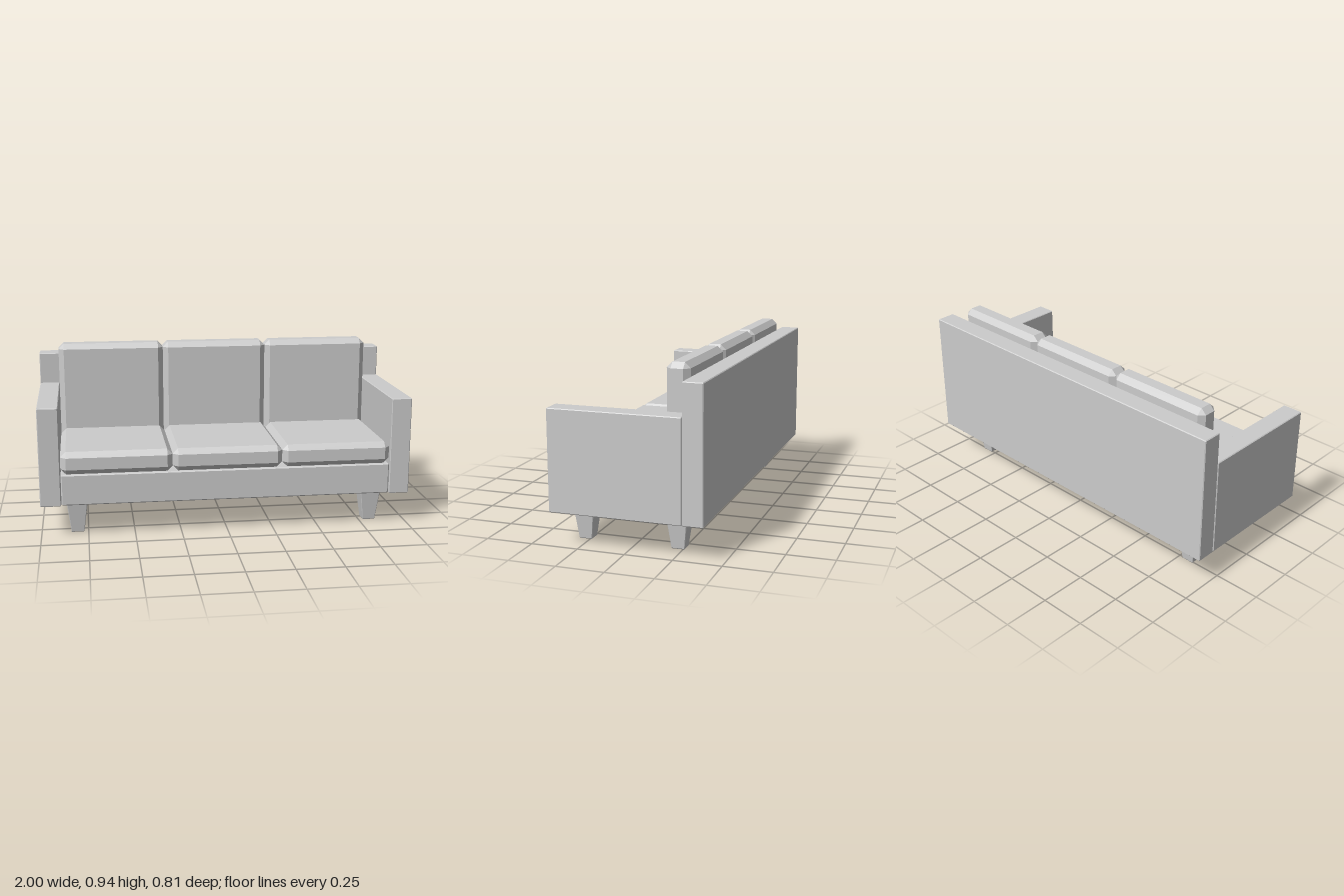
import * as THREE from 'three';
import { ConvexGeometry } from 'three/addons/geometries/ConvexGeometry.js';

const material = new THREE.MeshStandardMaterial({ color: 0xcccccc, flatShading: true });

// Box with chamfered edges and corners, given by its min/max on each axis.
// A taper below 1 shrinks the bottom end towards the box's centre line.
function chamferBox(name, [x0, x1], [y0, y1], [z0, z1], bevel, taper = 1) {
  const half = [(x1 - x0) / 2, (y1 - y0) / 2, (z1 - z0) / 2];
  const points = [];
  for (const sx of [-1, 1]) for (const sy of [-1, 1]) for (const sz of [-1, 1]) {
    for (let axis = 0; axis < 3; axis++) {
      // each corner becomes three points, one on each face it touches
      const h = half.map((v, i) => (i === axis ? v : v - bevel));
      const p = new THREE.Vector3(sx * h[0], sy * h[1], sz * h[2]);
      const scale = THREE.MathUtils.lerp(taper, 1, (p.y + half[1]) / (2 * half[1]));
      p.x *= scale;
      p.z *= scale;
      points.push(p);
    }
  }
  const mesh = new THREE.Mesh(new ConvexGeometry(points), material);
  mesh.position.set((x0 + x1) / 2, (y0 + y1) / 2, (z0 + z1) / 2);
  mesh.name = name;
  return mesh;
}

export function createModel() {
  const sofa = new THREE.Group();
  sofa.name = 'sofa';

  // Frame
  sofa.add(chamferBox('backrest', [-1, 1], [0.176, 0.878], [-0.405, -0.298], 0.004));
  sofa.add(chamferBox('seatBase', [-0.888, 0.888], [0.178, 0.345], [-0.296, 0.396], 0.006));
  sofa.add(chamferBox('leftArm', [0.89, 1], [0.176, 0.707], [-0.296, 0.4], 0.004));
  sofa.add(chamferBox('rightArm', [-1, -0.89], [0.176, 0.707], [-0.296, 0.4], 0.004));

  // Three seat cushions, each with a back cushion behind it
  const width = 0.592;
  for (let i = -1; i <= 1; i++) {
    const x = [(i - 0.5) * width, (i + 0.5) * width];
    sofa.add(chamferBox('seatCushion', x, [0.345, 0.467], [-0.176, 0.406], 0.029));
    sofa.add(chamferBox('backCushion', x, [0.345, 0.945], [-0.297, -0.176], 0.029));
  }

  // Tapered legs
  for (const x of [-0.807, 0.807]) for (const z of [0.274, -0.224]) {
    const leg = chamferBox('leg', [x - 0.057, x + 0.057], [0, 0.18], [z - 0.057, z + 0.057], 0.004, 0.6);
    sofa.add(leg);
  }
  return sofa;
}
